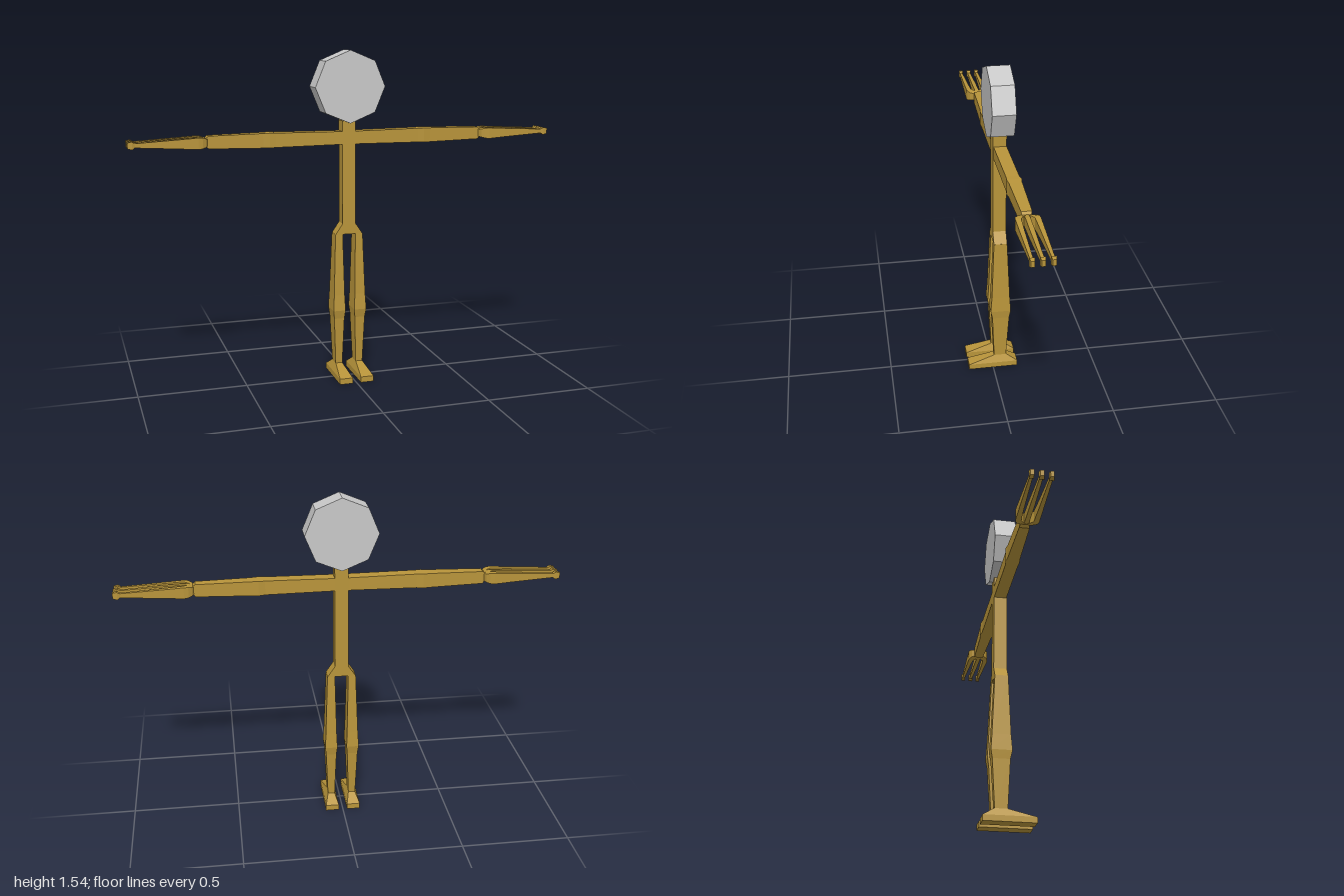
import * as THREE from 'three';

const gold = new THREE.MeshStandardMaterial({ color: 0xb8943a });
gold.name = 'gold';
const grey = new THREE.MeshStandardMaterial({ color: 0xc8c8c8 });
grey.name = 'grey';
const ZC = -0.036; // depth of the body's centre plane

// Rectangular cross-sections [t, a0, a1, b0, b1] joined along x (a = y) or y (a = x); b is always z
function loft(name, axis, sections, side = 1) {
  const rings = sections.map(([t, a0, a1, b0, b1]) =>
    [[a0, b0], [a1, b0], [a1, b1], [a0, b1]].map(([a, b]) =>
      axis === 'x' ? [t * side, a, b] : [a * side, t, b]));
  const flip = (axis === 'y') !== (side < 0);
  const pos = [];
  const quad = (a, b, c, d) => {
    const q = flip ? [a, c, b, a, d, c] : [a, b, c, a, c, d];
    q.forEach(p => pos.push(...p));
  };
  for (let i = 0; i < rings.length - 1; i++) {
    for (let k = 0; k < 4; k++) {
      const n = (k + 1) % 4;
      quad(rings[i][k], rings[i][n], rings[i + 1][n], rings[i + 1][k]);
    }
  }
  const [s, e] = [rings[0], rings[rings.length - 1]];
  quad(s[3], s[2], s[1], s[0]);
  quad(e[0], e[1], e[2], e[3]);
  const geo = new THREE.BufferGeometry();
  geo.setAttribute('position', new THREE.Float32BufferAttribute(pos, 3));
  geo.computeVertexNormals();
  const mesh = new THREE.Mesh(geo, gold);
  mesh.name = name;
  return mesh;
}

export function createModel() {
  const model = new THREE.Group();
  model.name = 'figure';

  // Octagonal head with a corner on top
  const headGeo = new THREE.CylinderGeometry(0.165, 0.165, 0.105, 8).toNonIndexed();
  headGeo.rotateX(Math.PI / 2);
  headGeo.computeVertexNormals();
  const head = new THREE.Mesh(headGeo, grey);
  head.name = 'head';
  head.position.set(0, 1.375, -0.033);
  model.add(head);

  // Neck and trunk, flaring into the hips
  model.add(loft('trunk', 'y', [
    [0.69, -0.065, 0.065, -0.067, -0.005],
    [0.74, -0.031, 0.031, -0.067, -0.005],
    [1.22, -0.031, 0.031, -0.067, -0.005],
  ]));

  for (const side of [1, -1]) {
    const tag = side > 0 ? 'left' : 'right';

    // Arm with elbow and wrist
    model.add(loft(tag + 'Arm', 'x', [
      [0.03, 1.112, 1.171, -0.067, -0.008],
      [0.34, 1.109, 1.174, -0.067, -0.010],
      [0.37, 1.108, 1.175, -0.073, -0.008],
      [0.40, 1.108, 1.174, -0.068, -0.012],
      [0.645, 1.113, 1.17, -0.062, -0.017],
      [0.66, 1.126, 1.158, -0.056, -0.02],
    ], side));

    // Leg with knee
    model.add(loft(tag + 'Leg', 'y', [
      [0.055, 0.034, 0.066, -0.065, -0.007],
      [0.285, 0.026, 0.075, -0.078, 0.003],
      [0.325, 0.022, 0.08, -0.085, 0.012],
      [0.40, 0.025, 0.076, -0.08, 0.006],
      [0.69, 0.031, 0.066, -0.067, -0.005],
    ], side));

    // Foot: flat sole rising to the ankle
    model.add(loft(tag + 'Foot', 'y', [
      [0, 0.02, 0.082, -0.12, 0.12],
      [0.027, 0.02, 0.082, -0.12, 0.12],
      [0.062, 0.034, 0.066, -0.067, -0.007],
    ], side));

    const hand = new THREE.Group();
    hand.name = tag + 'Hand';
    model.add(hand);

    // Middle finger with a knob at the tip
    hand.add(loft('middleFinger', 'x', [
      [0.65, 1.125, 1.16, -0.05, -0.022],
      [0.69, 1.118, 1.166, -0.046, -0.026],
      [0.78, 1.122, 1.162, -0.046, -0.026],
      [0.968, 1.133, 1.152, -0.043, -0.029],
      [0.98, 1.125, 1.16, -0.047, -0.025],
      [1.0, 1.13, 1.156, -0.044, -0.028],
    ], side));

    // Outer fingers curve out of the wrist, mirrored about the centre plane
    const curve = [ // x, low y, high y, inner and outer distance from the centre plane
      [0.65, 1.125, 1.158, 0, 0.018],
      [0.66, 1.122, 1.161, 0, 0.037],
      [0.675, 1.118, 1.166, 0.012, 0.047],
      [0.695, 1.116, 1.167, 0.027, 0.051],
      [0.78, 1.122, 1.162, 0.03, 0.05],
      [0.968, 1.133, 1.152, 0.034, 0.047],
      [0.98, 1.125, 1.16, 0.03, 0.051],
      [1.0, 1.13, 1.156, 0.033, 0.048],
    ];
    hand.add(loft('frontFinger', 'x',
      curve.map(([x, y0, y1, i, o]) => [x, y0, y1, ZC + i, ZC + o]), side));
    hand.add(loft('backFinger', 'x',
      curve.map(([x, y0, y1, i, o]) => [x, y0, y1, ZC - o, ZC - i]), side));
  }
  return model;
}
